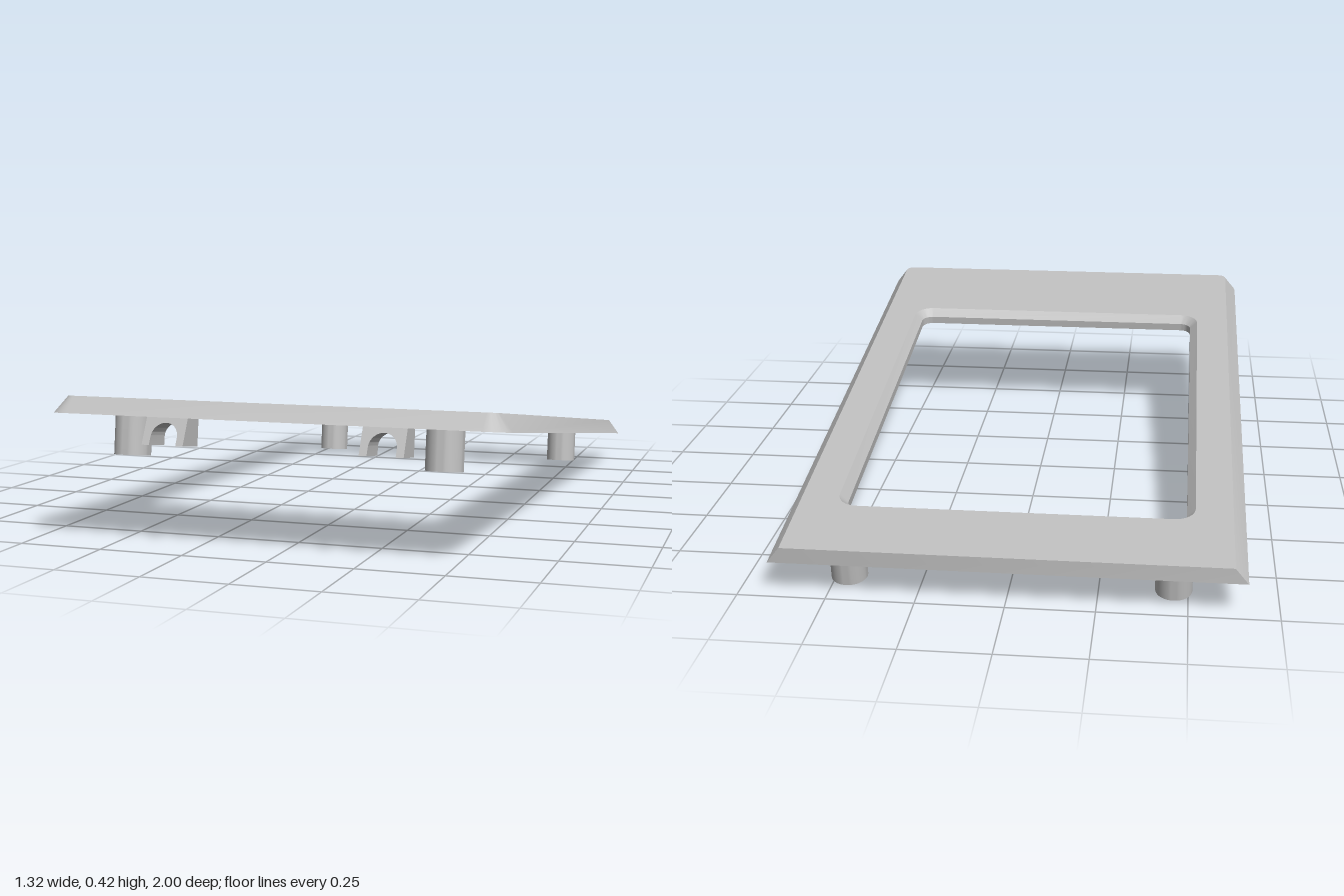
import * as THREE from 'three';
import { toCreasedNormals } from 'three/addons/utils/BufferGeometryUtils.js';

const TILT = THREE.MathUtils.degToRad(8);
const THICK = 0.0495;

// Rounded rectangle in the xz plane, counterclockwise from above
function ring(y, hx, zBack, zFront, rBack, rFront, steps = 8) {
  const pts = [];
  for (let c = 0; c < 4; c++) {
    const back = c < 2;
    const r = back ? rBack : rFront;
    const cx = (c === 0 || c === 3 ? 1 : -1) * (hx - r);
    const cz = back ? zBack + r : zFront - r;
    for (let i = 0; i <= steps; i++) {
      const a = (c + i / steps) * Math.PI / 2;
      pts.push(new THREE.Vector3(cx + r * Math.cos(a), y, cz - r * Math.sin(a)));
    }
  }
  return pts;
}

// Closed band through a cycle of rings
function stitch(rings) {
  const tri = [];
  rings.forEach((a, k) => {
    const b = rings[(k + 1) % rings.length];
    a.forEach((p, i) => {
      const j = (i + 1) % a.length;
      tri.push(p, a[j], b[j], p, b[j], b[i]);
    });
  });
  return toCreasedNormals(new THREE.BufferGeometry().setFromPoints(tri), 0.5);
}

export function createModel() {
  const grey = new THREE.MeshStandardMaterial({ color: 0xbfbfbf });
  grey.name = 'plain grey';
  const model = new THREE.Group();
  model.name = 'bezelFrame';
  const tilted = new THREE.Group();
  tilted.name = 'tiltedAssembly';
  tilted.position.y = 0.241;
  tilted.rotation.x = -TILT;
  model.add(tilted);

  const add = (name, geometry, x = 0, y = 0, z = 0) => {
    const mesh = new THREE.Mesh(geometry, grey);
    mesh.name = name;
    mesh.position.set(x, y, z);
    tilted.add(mesh);
  };

  // Plate: bevelled sides and front, square back, chamfered window
  add('framePlate', stitch([
    ring(0, 0.66, -1.003, 1.0098, 0.0005, 0.065),
    ring(THICK, 0.622, -1.003, 0.971, 0.0005, 0.027),
    ring(THICK, 0.515, -0.774, 0.592, 0.06, 0.06),
    ring(0.025, 0.491, -0.75, 0.568, 0.036, 0.036),
    ring(0, 0.491, -0.75, 0.568, 0.036, 0.036),
  ]));

  // Standoff leg with a blind bore in its foot
  const leg = toCreasedNormals(new THREE.LatheGeometry([
    [0, -0.02], [0.024, -0.02], [0.024, -0.111], [0.052, -0.111], [0.052, 0.001],
  ].map(([r, y]) => new THREE.Vector2(r, y)).map((p) => p), 40), 0.5);

  // Arched clip, its front face leaning forward toward the feet
  const H = 0.078, W = 0.062, R = 0.04, depth = 0.09;
  const arch = new THREE.Shape();
  arch.moveTo(-W, 0.001);
  arch.lineTo(-W, -H);
  arch.lineTo(-R, -H);
  arch.lineTo(-R, -0.055);
  arch.absarc(0, -0.055, R, Math.PI, 0, true);
  arch.lineTo(R, -H);
  arch.lineTo(W, -H);
  arch.lineTo(W, 0.001);
  let clip = new THREE.ExtrudeGeometry(arch, { depth, bevelEnabled: false, curveSegments: 20 });
  const pos = clip.attributes.position;
  for (let i = 0; i < pos.count; i++) {
    if (pos.getZ(i) > depth / 2) pos.setZ(i, depth - 0.02 - pos.getY(i) * 0.35);
  }
  clip = toCreasedNormals(clip, 0.5);

  for (const [side, s] of [['left', 1], ['right', -1]]) {
    add(side + 'FrontLeg', leg, s * 0.46, 0, 0.86);
    add(side + 'BackLeg', leg, s * 0.46, 0, -0.887);
    add(side + 'Clip', clip, s * 0.316, 0, 0.872);
  }
  return model;
}
